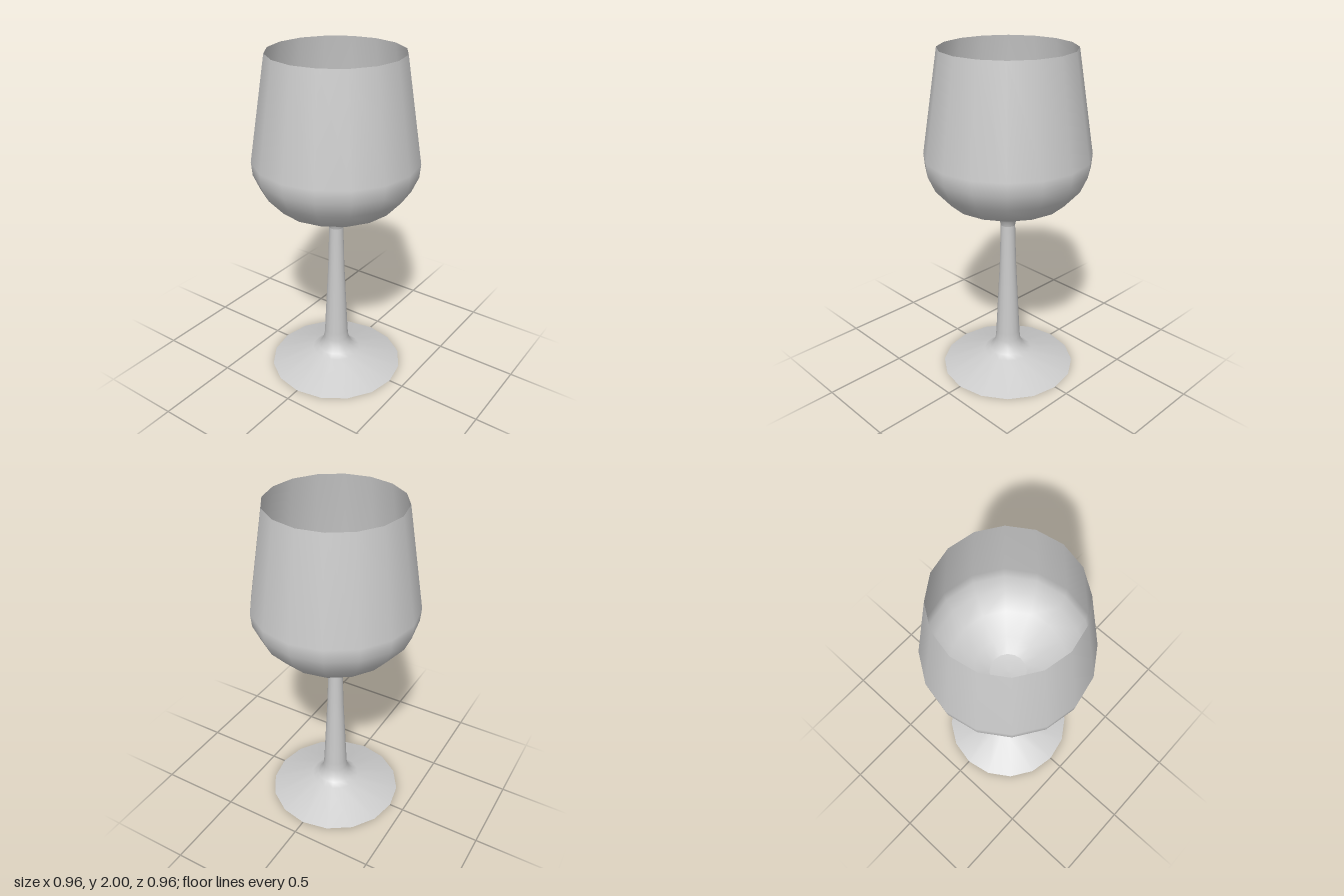
import * as THREE from 'three';

const SIDES = 16;

export function createModel() {
  const glass = new THREE.Group();
  glass.name = 'wineGlass';
  const solid = new THREE.MeshStandardMaterial({ color: 0xcccccc });
  const thin = new THREE.MeshStandardMaterial({ color: 0xcccccc, side: THREE.DoubleSide });

  // Turned part from [radius, height] pairs, listed bottom to top
  const turned = (name, profile, material) => {
    const points = profile.map(([r, y]) => new THREE.Vector2(r, y));
    const mesh = new THREE.Mesh(new THREE.LatheGeometry(points, SIDES), material);
    mesh.name = name;
    glass.add(mesh);
  };

  // Sloping foot flowing into the tapered stem
  turned('footAndStem', [
    [0.41, 0], [0.15, 0.09], [0.115, 0.11], [0.09, 0.14], [0.077, 0.18],
    [0.073, 0.23], [0.05, 0.7], [0.044, 0.92], [0.043, 0.96],
  ], solid);

  // Flat underside of the foot
  const underside = new THREE.Mesh(new THREE.CircleGeometry(0.41, SIDES), solid);
  underside.name = 'footUnderside';
  underside.rotation.x = Math.PI / 2;
  glass.add(underside);

  // Thin open bowl, narrowing towards the rim
  turned('bowl', [
    [0.043, 0.96], [0.05, 0.99], [0.07, 1.015], [0.11, 1.035], [0.2, 1.07],
    [0.345, 1.13], [0.435, 1.23], [0.475, 1.32], [0.482, 1.4], [0.385, 2],
  ], thin);

  // Inner floor closing the bowl over the stem
  turned('bowlFloor', [[0, 1.025], [0.06, 1.027], [0.11, 1.035]], thin);

  return glass;
}
